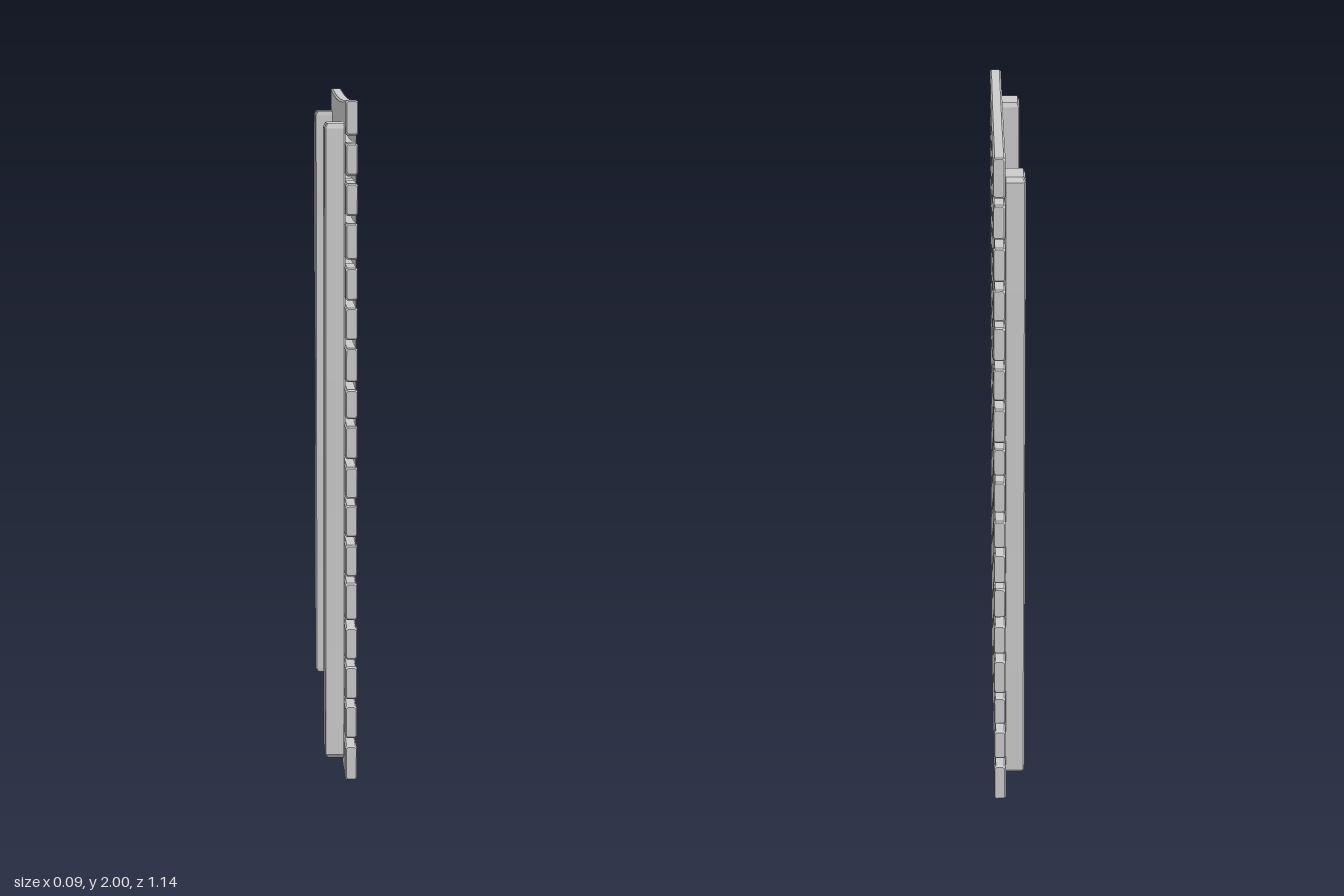
import * as THREE from 'three';

const material = new THREE.MeshStandardMaterial({ color: 0xcccccc, flatShading: true, side: THREE.DoubleSide });

// Joins equal rings of points into a closed solid with capped ends.
function loft(rings) {
  const n = rings[0].length, positions = rings.flat(2), index = [];
  for (let r = 0; r < rings.length - 1; r++) {
    for (let i = 0; i < n; i++) {
      const a = r * n + i, b = r * n + (i + 1) % n;
      index.push(a, b, b + n, a, b + n, a + n);
    }
  }
  const last = (rings.length - 1) * n;
  for (let i = 1; i < n - 1; i++) index.push(0, i + 1, i, last, last + i, last + i + 1);
  const geometry = new THREE.BufferGeometry();
  geometry.setAttribute('position', new THREE.Float32BufferAttribute(positions, 3));
  geometry.setIndex(index);
  geometry.computeVertexNormals();
  return geometry;
}

// Rectangle with cut corners, counter-clockwise.
function section(u0, u1, v0, v1, c) {
  return [[u0 + c, v0], [u1 - c, v0], [u1, v0 + c], [u1, v1 - c],
    [u1 - c, v1], [u0 + c, v1], [u0, v1 - c], [u0, v0 + c]];
}

// Heights of the gap centres at the +z end and the -z end, from the ground up.
const gapsLeft = [0.13, 0.25, 0.37, 0.488, 0.62, 0.735, 0.85, 0.965, 1.083, 1.19, 1.31, 1.425, 1.54, 1.665, 1.778, 1.89];
const gapsRight = [0.125, 0.24, 0.35, 0.48, 0.595, 0.71, 0.825, 0.933, 1.05, 1.155, 1.28, 1.398, 1.52, 1.635, 1.755, 1.875];
const STATIONS = 8;

// Worn plank running along z, with slightly wandering edges.
function plank(i) {
  const count = gapsLeft.length;
  const edge = (k, t, s) => {
    if (k < 0) return 0.015 - 0.015 * t;
    if (k >= count) return 2 - 0.014 * Math.sin(Math.PI * t);
    const wander = 0.006 * Math.sin(k * 2.3 + t * 7) * Math.sin(Math.PI * t);
    return gapsLeft[k] + (gapsRight[k] - gapsLeft[k]) * t + wander + s * 0.011;
  };
  const zMin = -0.559 - 0.007 * Math.sin(i * 1.9 + 1.4);
  const zMax = 0.565 + 0.005 * Math.sin(i * 2.7 + 1);
  const rings = [];
  for (let s = -1; s <= STATIONS + 1; s++) {
    const cap = s < 0 || s > STATIONS;
    const t = 1 - Math.min(1, Math.max(0, s / STATIONS));
    let z = zMin + 0.005 + (zMax - zMin - 0.01) * (1 - t);
    if (cap) z = s < 0 ? zMin : zMax;
    const inset = cap ? 0.004 : 0;
    const ring = section(0.01 + inset, 0.045 - inset / 2,
      edge(i - 1, t, 1) + inset, edge(i, t, -1) - inset, 0.005);
    rings.push(ring.map(([x, y]) => [x, y, z]));
  }
  return loft(rings);
}

// Upright batten with bevelled ends and a slight sway.
function batten(z0, z1, phase) {
  const rings = [];
  const heights = [0.06, 0.072, 0.4, 0.8, 1.2, 1.6, 1.918, 1.932];
  heights.forEach((y, k) => {
    const inset = k === 0 || k === heights.length - 1 ? 0.006 : 0;
    const sway = 0.003 * Math.sin(k * 1.7 + phase);
    const ring = section(z0 + inset + sway, z1 - inset + sway, -0.047 + inset, 0.013, 0.004);
    rings.push(ring.map(([z, x]) => [x, y, z]));
  });
  return loft(rings);
}

export function createModel() {
  const group = new THREE.Group();
  const add = (geometry, name) => {
    const mesh = new THREE.Mesh(geometry, material);
    mesh.name = name;
    group.add(mesh);
    return mesh;
  };

  // Planks
  for (let i = 0; i <= gapsLeft.length; i++) add(plank(i), `plank${i + 1}`);

  // Thin sheet closing the gaps just behind the plank faces
  add(new THREE.BoxGeometry(0.002, 1.95, 1.106), 'gapSheet').position.set(0.041, 1, 0);

  // Battens
  add(batten(0.39, 0.5, 0), 'leftBatten');
  add(batten(-0.512, -0.403, 2), 'rightBatten');
  return group;
}
